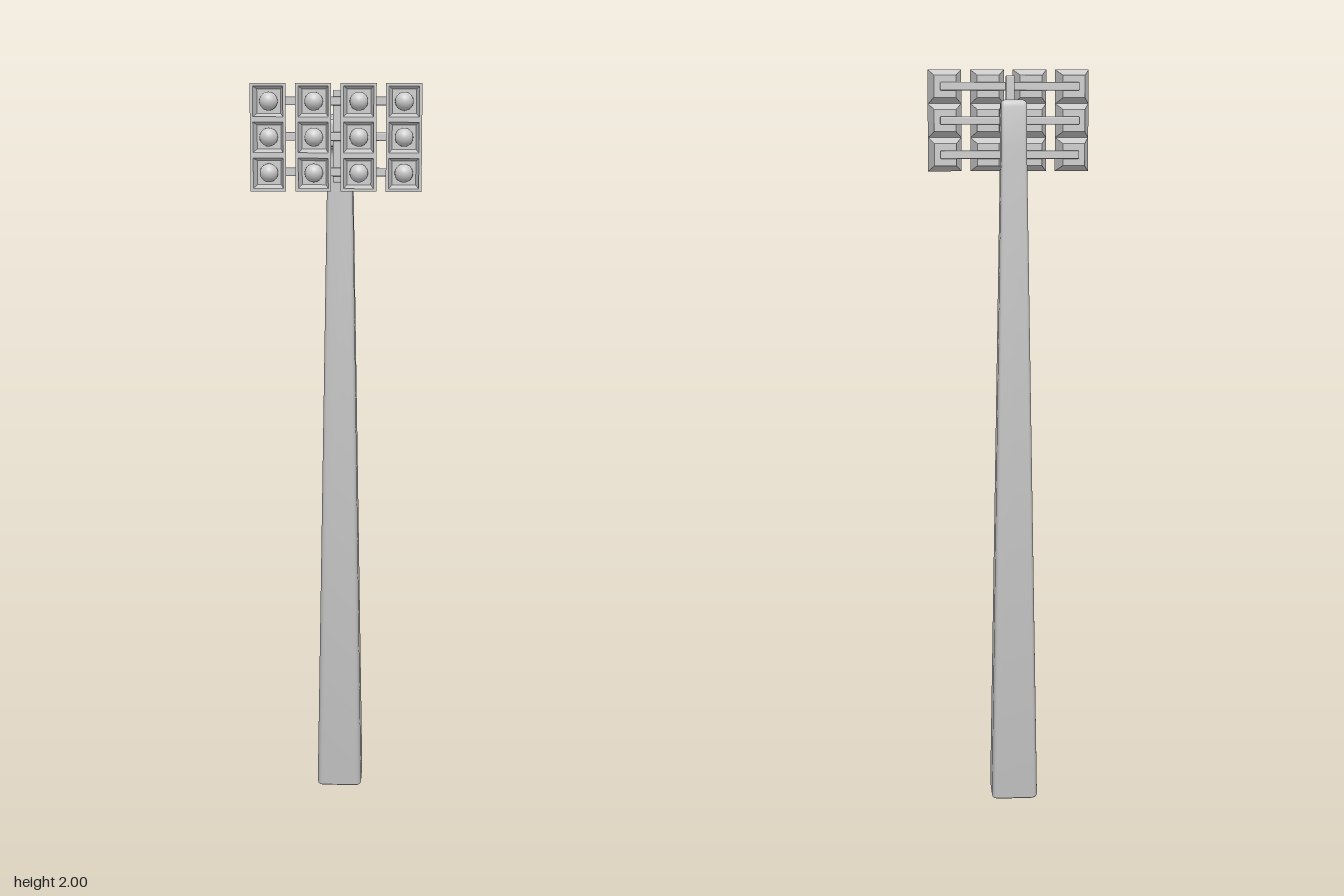
import * as THREE from 'three';
import { toCreasedNormals } from 'three/addons/utils/BufferGeometryUtils.js';
import { RoundedBoxGeometry } from 'three/addons/geometries/RoundedBoxGeometry.js';

const material = new THREE.MeshStandardMaterial({ color: 0xcccccc });

function add(parent, name, geometry, x = 0, y = 0, z = 0) {
  const mesh = new THREE.Mesh(geometry, material);
  mesh.name = name;
  mesh.position.set(x, y, z);
  parent.add(mesh);
  return mesh;
}

// Rounded rectangle outline, counter-clockwise, 4 segments per corner
function roundedRect(hw, hd, r) {
  const pts = [];
  [[1, 1], [-1, 1], [-1, -1], [1, -1]].forEach(([sx, sy], c) => {
    for (let i = 0; i <= 4; i++) {
      const a = (c + i / 4) * Math.PI / 2;
      pts.push([sx * (hw - r) + r * Math.cos(a), sy * (hd - r) + r * Math.sin(a)]);
    }
  });
  return pts;
}

// Skin through sections [frontZ, frontY, backZ, backY, halfWidth, cornerRadius]
function loft(sections) {
  const pos = [], idx = [], n = 20;
  for (const [fz, fy, bz, by, hw, r] of sections) {
    const hd = Math.hypot(fz - bz, fy - by) / 2;
    for (const [x, d] of roundedRect(hw, hd, r)) {
      const t = (d / hd + 1) / 2;
      pos.push(x, by + (fy - by) * t, bz + (fz - bz) * t);
    }
  }
  const last = (sections.length - 1) * n;
  for (let s = 0; s < last; s += n) {
    for (let i = 0; i < n; i++) {
      const j = (i + 1) % n;
      idx.push(s + i, s + n + i, s + j, s + j, s + n + i, s + n + j);
    }
  }
  for (let i = 1; i < n - 1; i++) {
    idx.push(0, i, i + 1, last, last + i + 1, last + i);
  }
  // The outline runs clockwise seen from above, so reverse the winding
  for (let i = 0; i < idx.length; i += 3) [idx[i], idx[i + 1]] = [idx[i + 1], idx[i]];
  const g = new THREE.BufferGeometry();
  g.setAttribute('position', new THREE.Float32BufferAttribute(pos, 3));
  g.setIndex(idx);
  return windOutward(g);
}

// Flip every face if the enclosed volume comes out negative
function windOutward(g) {
  const p = g.attributes.position, ix = g.index.array;
  const [a, b, c] = [0, 0, 0].map(() => new THREE.Vector3());
  let volume = 0;
  for (let i = 0; i < ix.length; i += 3) {
    a.fromBufferAttribute(p, ix[i]);
    b.fromBufferAttribute(p, ix[i + 1]);
    c.fromBufferAttribute(p, ix[i + 2]);
    volume += a.dot(b.cross(c));
  }
  if (volume < 0) {
    for (let i = 0; i < ix.length; i += 3) [ix[i], ix[i + 1]] = [ix[i + 1], ix[i]];
  }
  g.computeVertexNormals();
  return toCreasedNormals(g, 0.6);
}

// Square lamp housing with a recessed front, as a four-sided lathe along z
function housingGeometry() {
  const profile = [[0, 0], [0.03, 0], [0.0465, 0.067], [0.039, 0.067], [0.031, 0.034], [0, 0.034]];
  const g = new THREE.LatheGeometry(
    profile.map(([h, z]) => new THREE.Vector2(h * Math.SQRT2, z)), 4);
  g.rotateY(Math.PI / 4).rotateX(Math.PI / 2);
  return toCreasedNormals(g, 0.1);
}

export function createModel() {
  const model = new THREE.Group();
  model.name = 'floodlightTower';

  // Tapered pole that bends forward into a short arm
  add(model, 'poleAndArm', loft([
    [-0.032, 0, -0.146, 0, 0.057, 0.012],
    [-0.028, 0.003, -0.15, 0.003, 0.061, 0.014],
    [-0.026, 0.01, -0.152, 0.01, 0.063, 0.015],
    [-0.053, 1.8, -0.123, 1.8, 0.034, 0.012],
    [-0.053, 1.806, -0.123, 1.898, 0.034, 0.012],
    [-0.051, 1.814, -0.121, 1.908, 0.034, 0.012],
    [-0.045, 1.821, -0.115, 1.914, 0.034, 0.012],
    [-0.036, 1.825, -0.105, 1.916, 0.034, 0.012],
    [-0.02, 1.827, -0.02, 1.913, 0.0325, 0.012],
    [0.043, 1.834, 0.043, 1.907, 0.029, 0.012],
    [0.048, 1.836, 0.048, 1.905, 0.027, 0.011],
    [0.05, 1.84, 0.05, 1.901, 0.023, 0.009],
  ]));

  // Rack: one upright and three crossbars
  const rack = new THREE.Group();
  rack.name = 'lampRack';
  model.add(rack);
  add(rack, 'upright', new RoundedBoxGeometry(0.024, 0.24, 0.017, 2, 0.003), 0, 1.862, 0.058);

  const housing = housingGeometry();
  const bulb = new THREE.SphereGeometry(0.024, 20, 14);
  const bar = new RoundedBoxGeometry(0.38, 0.022, 0.015, 2, 0.003);
  for (const y of [1.77, 1.862, 1.9535]) {
    add(rack, 'crossbar', bar, 0, y, 0.0735);
    for (const x of [-0.176, -0.0587, 0.0587, 0.176]) {
      const lamp = new THREE.Group();
      lamp.name = 'lamp';
      lamp.position.set(x, y, 0.081);
      rack.add(lamp);
      add(lamp, 'housing', housing);
      add(lamp, 'bulb', bulb, 0, 0, 0.046);
    }
  }
  return model;
}
